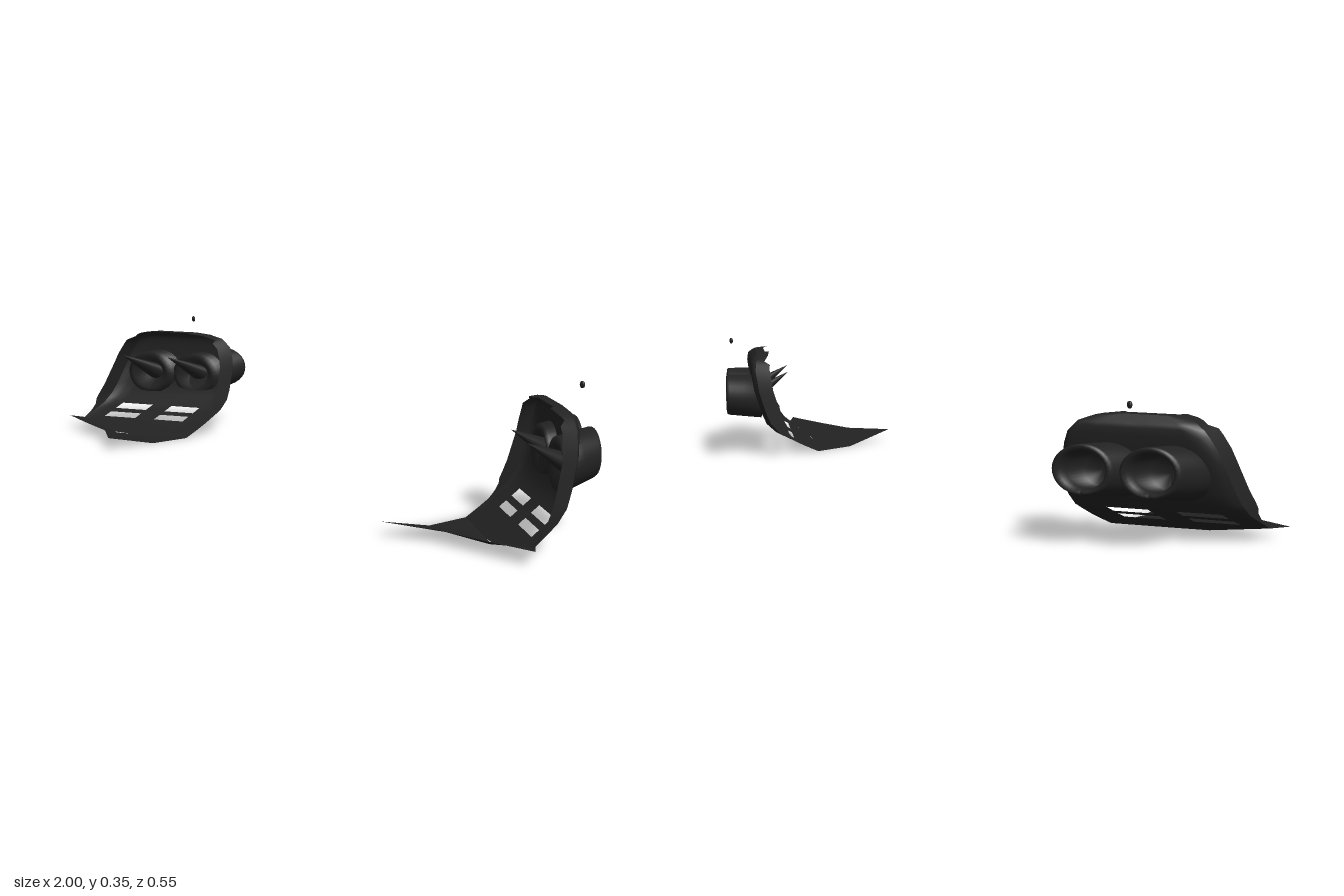
import * as THREE from 'three';

const dark = new THREE.MeshStandardMaterial({ color: 0x222222, side: THREE.DoubleSide });
const SWEEP = 0.6; // how far the panel runs forward per unit of x
const INNER_X = 0.61;

// linear interpolation in a list of [key, value]
function lerpTable(table, k) {
  for (let i = 1; i < table.length; i++) {
    const [a, va] = table[i - 1], [b, vb] = table[i];
    if (k <= b) return va + (vb - va) * Math.max(0, (k - a) / (b - a));
  }
  return table[table.length - 1][1];
}

// outline and rake of the panel by height
const innerEdge = [[0, 0.607], [0.1, 0.618], [0.22, 0.632], [0.26, 0.645], [0.285, 0.664], [0.298, 0.69], [0.304, 0.73]];
const outerEdge = [[0, 0.967], [0.1, 0.965], [0.2, 0.947], [0.25, 0.932], [0.28, 0.91], [0.296, 0.885], [0.304, 0.85]];
const rake = [[0, 0], [0.03, -0.07], [0.07, -0.15], [0.1, -0.185], [0.13, -0.2], [0.2, -0.225], [0.26, -0.235], [0.304, -0.23]];

function panelPoint(u, y) {
  const x = THREE.MathUtils.lerp(lerpTable(innerEdge, y), lerpTable(outerEdge, y), u);
  const h = Math.max(y, 0.03 * (x - 0.81) / 0.155); // underside lifts at the outer corner
  const edge = Math.max(0, 1 - Math.min(u, 1 - u) / 0.06);
  const roll = 0.015 * edge * Math.min(1, y / 0.1) + 0.02 * Math.max(0, (y - 0.285) / 0.019);
  return [x, h, lerpTable(rake, h) + SWEEP * (x - INNER_X) + roll];
}

// grid surface from rows of points; skip(i, j) leaves a cell open
function gridGeometry(rows, skip = () => false) {
  const n = rows[0].length, index = [];
  for (let i = 0; i < rows.length - 1; i++) {
    for (let j = 0; j < n - 1; j++) {
      if (skip(i, j)) continue;
      const a = i * n + j, b = a + 1, c = a + n, d = c + 1;
      index.push(a, c, b, b, c, d);
    }
  }
  const g = new THREE.BufferGeometry();
  g.setAttribute('position', new THREE.Float32BufferAttribute(rows.flat(2), 3));
  g.setIndex(index);
  g.computeVertexNormals();
  return g;
}

function addMesh(group, geometry, name) {
  const mesh = new THREE.Mesh(geometry, dark);
  mesh.name = name;
  group.add(mesh);
  return mesh;
}

// turn a lathe so its axis is z, then slant its faces parallel to the panel
function slantedLathe(profile, rise) {
  const g = new THREE.LatheGeometry(profile.map(p => new THREE.Vector2(...p)), 32);
  g.rotateX(Math.PI / 2);
  const p = g.attributes.position;
  for (let i = 0; i < p.count; i++) {
    const depth = p.getZ(i);
    p.setY(i, p.getY(i) + rise(depth));
    p.setZ(i, depth + SWEEP * p.getX(i));
  }
  g.computeVertexNormals();
  return g;
}

function createCorner() {
  const corner = new THREE.Group();

  // panel with four vent slots
  const us = [0, 0.02, 0.06, 0.2, 0.44, 0.6, 0.86, 0.94, 0.98, 1];
  const ys = [0, 0.02, 0.036, 0.048, 0.057, 0.071, 0.085, 0.1, 0.13, 0.165, 0.2, 0.23, 0.26, 0.275, 0.285, 0.292, 0.298, 0.304];
  const rows = ys.map(y => us.map(u => panelPoint(u, y)));
  const isSlot = (i, j) => (i === 2 || i === 4) && (j === 3 || j === 5);
  addMesh(corner, gridGeometry(rows, isSlot), 'ventedPanel');

  // lip folded forward around the sides and top
  const rim = [
    ...ys.map(y => panelPoint(0, y)),
    ...us.slice(1, -1).map(u => panelPoint(u, 0.304)),
    ...ys.slice().reverse().map(y => panelPoint(1, y)),
  ];
  const lipDepth = y => 0.05 * THREE.MathUtils.smoothstep(y, 0.03, 0.1) * (y > 0.28 ? 0.6 : 1);
  const lip = rim.map(([x, y, z]) => [x, y, z + lipDepth(y)]);
  addMesh(corner, gridGeometry([rim, lip]), 'panelLip');

  // pointed splitter sheet under the panel
  const back = [0, 0.3, 0.57, 1].map(u => panelPoint(u, 0));
  const middle = [[0.607, 0, 0.12], [0.69, 0, 0.125], [0.81, 0, 0.125], [0.967, 0.03, 0.145]];
  const front = [[0.607, 0.036, 0.275], [0.735, 0.031, 0.21], [0.87, 0.032, 0.195], [1, 0.035, 0.18]];
  addMesh(corner, gridGeometry([back, middle, front]), 'splitter');

  // twin exhausts with a spike in front of each
  for (const [x, z] of [[0.733, -0.245], [0.861, -0.16]]) {
    const exhaust = new THREE.Group();
    exhaust.name = 'exhaust';
    exhaust.position.set(x, 0.186, z);
    const pipe = [[0.018, 0.1], [0.05, 0.125], [0.066, 0.12], [0.063, 0.06], [0.06, 0.008], [0.058, 0],
      [0.052, -0.002], [0.046, 0.004], [0.043, 0.02], [0.04, 0.075], [0, 0.075]];
    addMesh(exhaust, slantedLathe(pipe, d => -0.13 * d), 'exhaustPipe');
    addMesh(exhaust, slantedLathe([[0.026, 0.1], [0.012, 0.17], [0, 0.225]], d => -0.013 + 0.5 * (d - 0.1)), 'exhaustSpike');
    corner.add(exhaust);
  }

  // small stud floating above the panel
  const stud = addMesh(corner, new THREE.SphereGeometry(0.008, 12, 8), 'stud');
  stud.scale.set(0.9, 1.1, 0.6);
  stud.position.set(0.812, 0.337, -0.175);
  return corner;
}

export function createModel() {
  const model = new THREE.Group();
  const left = createCorner();
  left.name = 'leftCorner';
  const right = createCorner();
  right.name = 'rightCorner';
  right.scale.x = -1;
  model.add(left, right);
  return model;
}
